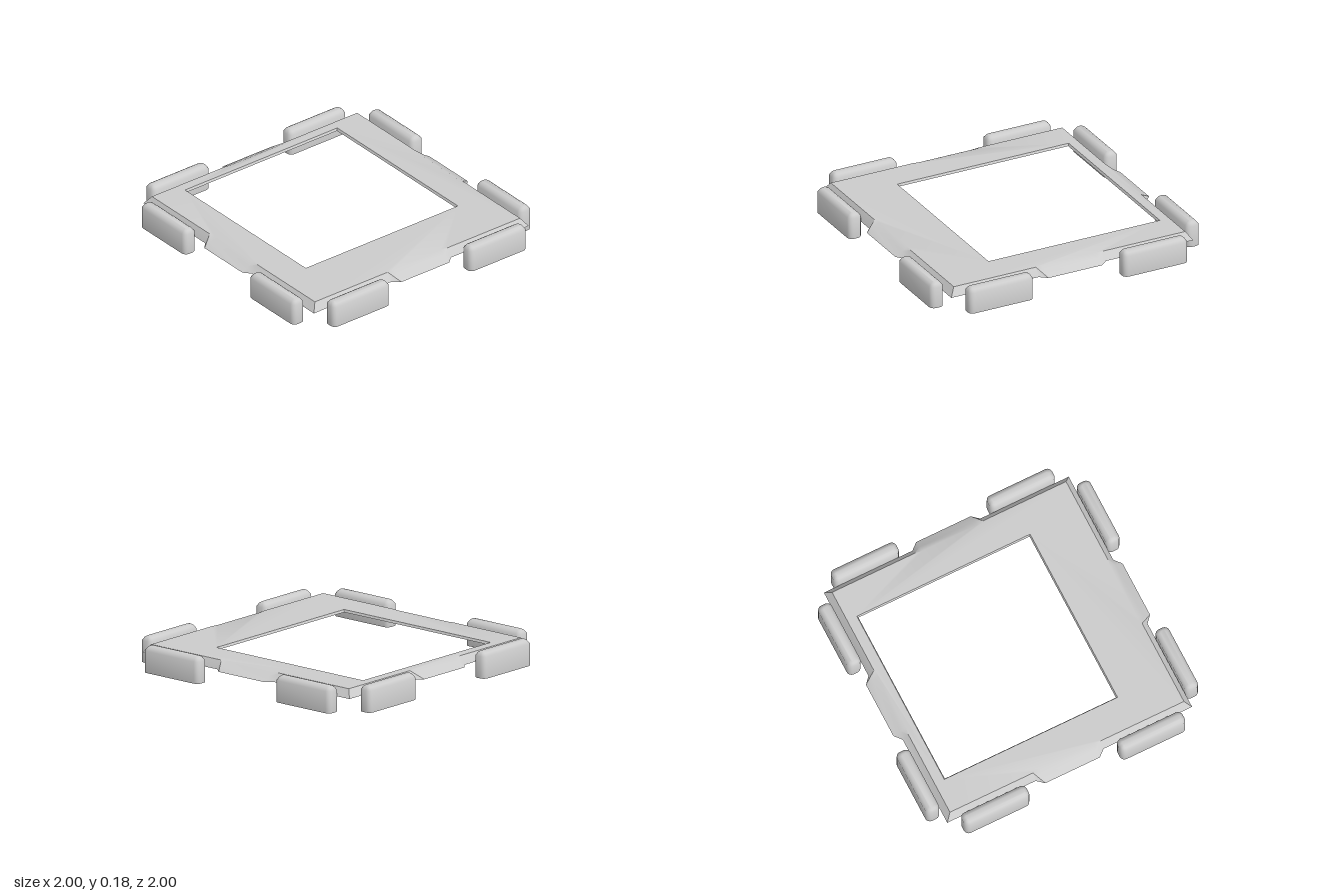
import * as THREE from 'three';
import { mergeGeometries, toCreasedNormals } from 'three/addons/utils/BufferGeometryUtils.js';

const material = new THREE.MeshStandardMaterial({ color: 0xcccccc, side: THREE.DoubleSide });

// Walls joining stacked loops of [x, y, z] points, listed from bottom to top
function loft(loops) {
  const n = loops[0].length;
  const index = [];
  for (let r = 0; r < loops.length - 1; r++) {
    for (let i = 0; i < n; i++) {
      const j = (i + 1) % n;
      const a = r * n + i, b = r * n + j, c = b + n, d = a + n;
      index.push(a, d, c, a, c, b);
    }
  }
  const g = new THREE.BufferGeometry();
  g.setAttribute('position', new THREE.Float32BufferAttribute(loops.flat(2), 3));
  g.setIndex(index);
  return g;
}

// Flat upward face filling a loop, with an optional hole
function cap(loop, hole) {
  const flat = (l) => l.map(([x, , z]) => new THREE.Vector2(x, -z));
  const shape = new THREE.Shape(flat(loop));
  if (hole) shape.holes.push(new THREE.Path(flat(hole)));
  const g = new THREE.ShapeGeometry(shape);
  g.rotateX(-Math.PI / 2);
  g.translate(0, loop[0][1], 0);
  return g;
}

function merge(parts, crease) {
  const bare = parts.map((p) => {
    const g = p.toNonIndexed();
    g.deleteAttribute('uv');
    g.deleteAttribute('normal');
    return g;
  });
  return toCreasedNormals(mergeGeometries(bare), crease);
}

// Square outline with a tapered tab in the middle of each side
function tabbedSquare(edge, tab, yEdge, yTab) {
  const side = [
    [edge, yEdge, -edge], [edge, yEdge, -0.25], [tab, yTab, -0.2],
    [tab, yTab, 0.2], [edge, yEdge, 0.25],
  ];
  const loop = [];
  for (let k = 0; k < 4; k++) {
    const c = Math.round(Math.cos(k * Math.PI / 2)), s = Math.round(Math.sin(k * Math.PI / 2));
    for (const [x, y, z] of side) loop.push([x * c - z * s, y, x * s + z * c]);
  }
  return loop;
}

// Off-centre window, wound to face inward
function windowLoop(y, grow) {
  const x = 0.63 + grow, z0 = -0.782 - grow, z1 = 0.476 + grow;
  return [[-x, y, z0], [-x, y, z1], [x, y, z1], [x, y, z0]];
}

// Thin shell, open below: sloped rim, flat top and a shallow lip round the window
function frameGeometry() {
  const rim = [
    tabbedSquare(0.9, 0.943, 0.098, 0.098),
    tabbedSquare(0.86, 0.893, 0.153, 0.13),
    tabbedSquare(0.852, 0.852, 0.153, 0.153),
  ];
  const lip = [windowLoop(0.137, 0), windowLoop(0.153, 0.008)];
  return merge([loft(rim), loft(lip), cap(rim[2], lip[1])], 0.7);
}

// Rounded rectangle loop for the pads
function padLoop(y, inset) {
  const hx = 0.2385 - inset * 0.8, hz = 0.0485 - inset, r = 0.034 - inset * 0.6;
  const loop = [];
  [[1, 1], [-1, 1], [-1, -1], [1, -1]].forEach(([sx, sz], k) => {
    for (let i = 0; i <= 4; i++) {
      const a = (k + i / 4) * Math.PI / 2;
      loop.push([sx * (hx - r) + r * Math.cos(a), y, sz * (hz - r) + r * Math.sin(a)]);
    }
  });
  return loop;
}

// Pad with a softened top and an open underside
function padGeometry() {
  const loops = [[0, 0], [0.148, 0], [0.168, 0.016], [0.178, 0.032]]
    .map(([y, inset]) => padLoop(y, inset));
  return merge([loft(loops), cap(loops[3])], 0.9);
}

export function createModel() {
  const model = new THREE.Group();
  model.name = 'squareFrame';

  const frame = new THREE.Mesh(frameGeometry(), material);
  frame.name = 'framePlate';
  model.add(frame);

  // Two pads along each of the four sides
  const geometry = padGeometry();
  ['front', 'left', 'back', 'right'].forEach((name, k) => {
    const side = new THREE.Group();
    side.name = name + 'Pads';
    side.rotation.y = k * Math.PI / 2;
    for (const s of [-1, 1]) {
      const pad = new THREE.Mesh(geometry, material);
      pad.name = name + 'Pad';
      pad.position.set(s * 0.573, 0, 0.9515);
      side.add(pad);
    }
    model.add(side);
  });
  return model;
}
